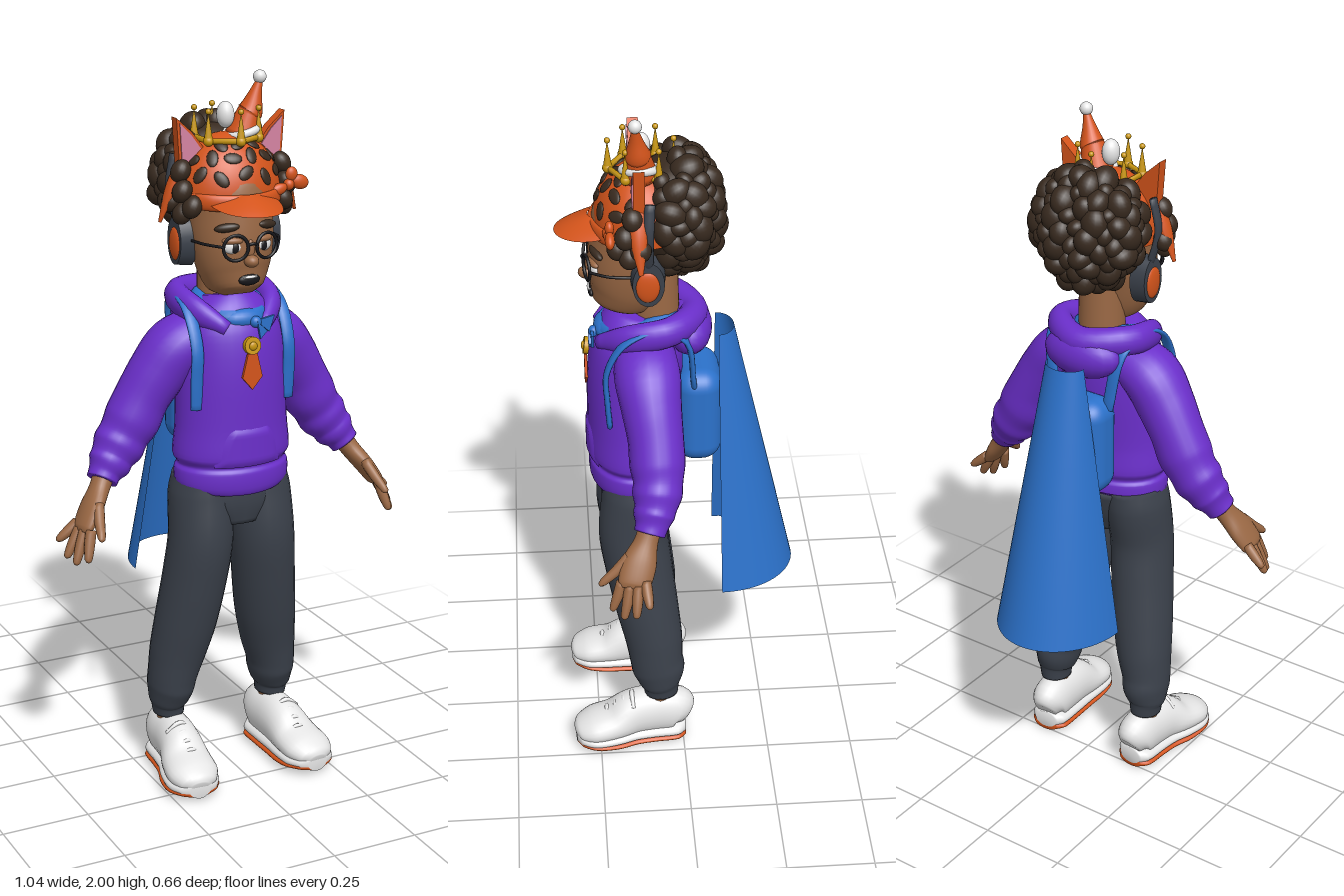
import * as THREE from 'three';
import { mergeVertices } from 'three/addons/utils/BufferGeometryUtils.js';
import { RoundedBoxGeometry } from 'three/addons/geometries/RoundedBoxGeometry.js';

const V = (x, y, z) => new THREE.Vector3(x, y, z);
const X = V(1, 0, 0), Y = V(0, 1, 0), Z = V(0, 0, 1);

// Smooth grid surface from fn(u, v) -> Vector3; faces the side of du x dv.
function surface(fn, nu, nv) {
  const pos = [], idx = [];
  for (let j = 0; j <= nv; j++) for (let i = 0; i <= nu; i++) pos.push(...fn(i / nu, j / nv).toArray());
  for (let j = 0; j < nv; j++) for (let i = 0; i < nu; i++) {
    const a = j * (nu + 1) + i, d = a + nu + 1;
    idx.push(a, a + 1, d + 1, a, d + 1, d);
  }
  let g = new THREE.BufferGeometry();
  g.setAttribute('position', new THREE.Float32BufferAttribute(pos, 3));
  g.setIndex(idx);
  g = mergeVertices(g, 1e-5);
  g.computeVertexNormals();
  return g;
}

// Capped loft through sections [x, y, z, a, b]; b lies along ref, a across it.
function loft(sections, ref = Z, sides = 24, per = 5) {
  const path = new THREE.CatmullRomCurve3(sections.map(s => V(s[0], s[1], s[2])));
  const size = new THREE.CatmullRomCurve3(sections.map(s => V(s[3], s[4] ?? s[3], 0)), false, 'catmullrom');
  const n = (sections.length - 1) * per;
  return surface((u, v) => {
    const t = Math.min(1, Math.max(0, (v * (n + 2) - 1) / n));
    const k = v === 0 || v === 1 ? 0 : 1, ang = -(u === 1 ? 0 : u) * Math.PI * 2;
    const c = path.getPoint(t), r = size.getPoint(t), dir = path.getTangent(t);
    const side = dir.clone().cross(ref).normalize(), up = side.clone().cross(dir);
    return c.addScaledVector(side, Math.cos(ang) * r.x * k).addScaledVector(up, Math.sin(ang) * r.y * k);
  }, sides, n + 2);
}

export function createModel() {
  const root = new THREE.Group();
  const mat = (name, color, side = THREE.FrontSide) => new THREE.MeshStandardMaterial({ name, color, side });
  const skin = mat('skin', 0x9a6844), purple = mat('purple', 0x6b2fcb), slate = mat('slate', 0x3b414b);
  const blue = mat('blue', 0x2c72cb, THREE.DoubleSide), orange = mat('orange', 0xd4541b), gold = mat('gold', 0xc9970f);
  const white = mat('white', 0xe6e6e6), brown = mat('dark brown', 0x382a1f), pink = mat('pink', 0xd583a2);
  const black = mat('black', 0x17171b);

  const add = (name, geo, m, p = [0, 0, 0], rot = [0, 0, 0]) => {
    const mesh = new THREE.Mesh(geo, m);
    mesh.name = name;
    mesh.position.set(...p);
    mesh.rotation.set(...rot);
    root.add(mesh);
    return mesh;
  };
  const ball = (name, m, p, r, rot) => add(name, new THREE.SphereGeometry(1, 20, 14), m, p, rot).scale.set(...r);
  const flat = (pts, depth) => new THREE.ExtrudeGeometry(
    new THREE.Shape(pts.map(p => new THREE.Vector2(p[0], p[1]))), { depth, bevelEnabled: false });

  // Hoodie body, with hem
  add('hoodieBody', loft([[0, .875, .13, .155, .115], [0, .89, .166, .124], [0, .925, .165, .124], [0, .94, .157, .117],
    [0, .965, .17, .128], [0, 1.05, .162, .126], [0, 1.2, .156, .132], [0, 1.3, .148, .126], [0, 1.36, .12, .105], [0, 1.4, .075, .08]]
    .map((s, i) => i ? [0, s[1], i < 6 ? .132 : .132 - (i - 5) * .008, s[2], s[3]] : s), Z, 36), purple);
  // Front pocket, following the belly
  const pocketAt = (u, v) => {
    const x = (u - .5) * (.2 - .09 * v * v), edge = Math.min(1, 8 * Math.min(u, 1 - u, v, 1 - v));
    return V(x, .945 + .11 * v, .132 + .128 * Math.sqrt(1 - (x / .17) ** 2) + .008 * edge - .004);
  };
  add('pocket', surface(pocketAt, 24, 12), purple);
  // Hood lying around the neck
  add('hoodRim', loft([[.055, 1.33, .22, .02, .02], [.115, 1.37, .14, .03, .04], [.115, 1.39, .03, .035, .042],
    [0, 1.385, -.04, .04, .04], [-.115, 1.39, .03, .035, .042], [-.115, 1.37, .14, .03, .04], [-.055, 1.33, .22, .02, .02]], Y), purple);
  ball('hoodBack', purple, [0, 1.345, -.025], [.12, .07, .065]);

  // Trousers seat
  add('trouserSeat', loft([[0, .76, .135, .09, .085], [0, .82, .13, .165, .1], [0, .9, .12, .165, .108]]), slate);

  for (const s of [1, -1]) {
    // Sleeve with folds towards the cuff
    add('sleeve', loft([[.08, 1.3, .1, .07, .085], [.15, 1.265, .095, .08, .09], [.2, 1.2, .088, .081, .082], [.245, 1.13, .08, .076, .076],
      [.275, 1.07, .078, .079, .076], [.3, 1.03, .078, .071, .068], [.32, 1, .082, .073, .068], [.34, .973, .088, .061, .058],
      [.353, .955, .094, .06, .056], [.368, .935, .1, .046, .046], [.38, .917, .107, .043, .043]].map(p => [s * p[0], ...p.slice(1)])), purple);
    // Hand
    add('palm', loft([[.365, .945, .1, .03, .032], [.392, .9, .117, .027, .033], [.425, .855, .137, .025, .047], [.455, .81, .152, .02, .045],
      [.463, .797, .155, .012, .036]].map(p => [s * p[0], ...p.slice(1)])), skin);
    const fingers = [[.448, .81, .187, .468, .735, .212], [.458, .805, .165, .49, .722, .182],
      [.463, .805, .143, .503, .733, .15], [.46, .815, .122, .512, .77, .115], [.415, .87, .165, .44, .8, .24]];
    for (const [x, y, z, x2, y2, z2] of fingers)
      add('finger', loft([[s * x, y, z, .015], [s * (x * .45 + x2 * .55), y * .45 + y2 * .55, z * .5 + z2 * .5, .0145],
        [s * x2, y2, z2, .01], [s * (x2 + .002), y2 - .006, z2, .004]], Z, 12, 4), skin);
    // Trouser leg with gathered ankle
    add('trouserLeg', loft([[.166, .168, .065, .044, .05], [.167, .195, .066, .048, .054], [.167, .21, .068, .056, .062],
      [.162, .25, .072, .066, .077], [.158, .29, .078, .07, .078], [.145, .36, .085, .08, .084], [.127, .46, .102, .088, .091], [.108, .6, .124, .09, .097],
      [.096, .72, .137, .09, .1], [.09, .84, .122, .088, .104], [.088, .9, .12, .075, .1]].map(p => [s * p[0], ...p.slice(1)])), slate);
    add('ankle', new THREE.CylinderGeometry(.036, .036, .08, 16), skin, [s * .165, .15, .07]);
    // Shoe: orange sole under a white upper
    const shoe = [[.158, .07, -.005, .032, .04], [.16, .09, .02, .054, .072], [.163, .095, .09, .058, .078], [.168, .09, .15, .062, .073],
      [.177, .07, .21, .072, .052], [.184, .06, .27, .073, .042], [.187, .05, .31, .052, .03], [.188, .045, .323, .025, .015]]
      .map(p => [s * p[0], ...p.slice(1)]);
    add('shoeUpper', loft(shoe, Y), white);
    add('shoeMidsole', loft(shoe.map(p => [p[0], .036, p[2], p[3] + .004, .026]), Y), white);
    add('shoeSole', loft(shoe.map(p => [p[0], .016 + .012 * Math.max(0, p[2] - .2) / .12, p[2] * .995, p[3] + .005, .016]), Y), orange);
    for (let i = 0; i < 4; i++) {
      const z = .15 + i * .025, y = .164 - i * .017;
      add('lace', loft([[s * .135, y - .025, z, .006], [s * .172, y + .002, z + .004, .007], [s * .212, y - .025, z, .006]], Z, 8), white);
    }
    // Backpack strap
    add('strap', loft([[.09, 1.2, -.035, .008, .018], [.115, 1.36, -.01, .008, .018], [.132, 1.405, .07, .008, .018], [.138, 1.37, .155, .008, .018],
      [.138, 1.28, .205, .008, .018], [.14, 1.19, .205, .008, .018], [.138, 1.11, .2, .008, .018]].map(p => [s * p[0], ...p.slice(1)]), X, 14), blue);
    // Headphone
    add('headphoneCup', new THREE.CylinderGeometry(.05, .055, .045, 24), slate, [s * .128, 1.555, .09], [0, 0, -s * Math.PI / 2]).scale.set(1.3, 1, .85);
    ball('headphoneCover', orange, [s * .149, 1.548, .092], [.01, .045, .032]);
    add('headphoneBand', loft([[s * .14, 1.6, .09, .009, .014], [s * .165, 1.7, .09, .009, .014], [s * .15, 1.79, .085, .009, .014]], Z, 12), slate);
    // Side flap of the hat
    add('hatFlap', loft([[s * .14, 1.77, .115, .012, .022], [s * .172, 1.7, .115, .014, .022], [s * .203, 1.615, .112, .004, .006]], Z, 12), orange);
    // Pointed animal ear
    const ear = [[.16, 1.89], [.15, 1.74], [.075, 1.8], [.115, 1.85]].map(p => [s * p[0], p[1]]);
    add('hatEar', flat(ear, .03), orange, [0, 0, .098]);
    const inner = ear.map(p => [s * .128 + (p[0] - s * .128) * .72, 1.822 + (p[1] - 1.822) * .78]);
    add('earInside', flat(inner, .004), pink, [0, 0, .127]);
    // Eye, spectacles and brow
    ball('eyeWhite', white, [s * .045, 1.555, .228], [.027, .019, .014], [0, s * .25, 0]);
    ball('iris', black, [s * .043, 1.554, .239], [.011, .014, .005], [0, s * .25, 0]);
    ball('eyelid', skin, [s * .045, 1.572, .229], [.03, .011, .015], [0, s * .25, 0]);
    add('spectacleRim', new THREE.TorusGeometry(.034, .0045, 8, 28), black, [s * .046, 1.556, .249], [0, s * .22, 0]);
    add('spectacleArm', loft([[s * .08, 1.56, .243, .004], [s * .112, 1.562, .19, .004], [s * .12, 1.56, .1, .004]], Y, 8), black);
    ball('eyebrow', brown, [s * .06, 1.607, .224], [.034, .012, .012], [0, s * .4, -s * .12]);
    add('fang', new THREE.ConeGeometry(.005, .016, 8), white, [s * .017, 1.468, .242], [Math.PI, 0, 0]);
  }

  // Head, neck and face
  add('head', loft([[0, 1.41, .165, .04, .05], [0, 1.43, .16, .074, .08], [0, 1.48, .145, .099, .1], [0, 1.55, .133, .113, .114],
    [0, 1.62, .12, .116, .12], [0, 1.7, .11, .115, .118], [0, 1.77, .1, .09, .09]], Z, 32), skin);
  add('neck', new THREE.CylinderGeometry(.062, .066, .2, 24), skin, [0, 1.46, .065]);
  ball('nose', skin, [0, 1.517, .25], [.02, .017, .022]);
  ball('noseBridge', skin, [0, 1.545, .243], [.011, .03, .01]);
  add('spectacleBridge', loft([[-.014, 1.562, .256, .004], [0, 1.566, .26, .004], [.014, 1.562, .256, .004]], Y, 8), black);
  ball('mouth', black, [0, 1.464, .238], [.032, .015, .009]);
  ball('teeth', white, [0, 1.472, .243], [.022, .004, .006]);

  // Hair: curls spread over a rounded core
  ball('hairCore', brown, [0, 1.7, .02], [.15, .155, .11]);
  for (let i = 0, n = 130; i < n; i++) {
    const h = 1 - 2 * (i + .5) / n, a = i * 2.39996, r = Math.sqrt(1 - h * h);
    const d = V(Math.cos(a) * r, h, Math.sin(a) * r);
    if (d.z > .45 || (h > .75 && d.z > .1)) continue;
    const taper = h < -.4 ? .85 : 1, k = .032 + .008 * Math.sin(i * 12.9);
    ball('curl', brown, [d.x * .145 * taper, 1.7 + d.y * .152, .005 + d.z * .1], [k, k * 1.15, k * .9], [i, i * 2, 0]);
  }
  for (const s of [1, -1]) for (const [x, y, z] of [[.15, 1.64, .14], [.168, 1.67, .11], [.155, 1.7, .15], [.15, 1.75, .13], [.135, 1.66, .17]])
    ball('sideCurl', brown, [s * x, y, z], [.026, .032, .028], [0, 0, s * .5]);

  // Spotted cap with band and brim
  const cap = V(0, 1.675, .1), capR = V(.15, .165, .13);
  add('capDome', new THREE.SphereGeometry(1, 36, 20, 0, Math.PI * 2, 0, Math.PI * .53), orange, cap.toArray()).scale.copy(capR);
  add('capBand', loft([[-.14, 1.675, .14, .01, .022], [-.09, 1.672, .205, .01, .022], [0, 1.67, .235, .01, .022],
    [.09, 1.672, .205, .01, .022], [.14, 1.675, .14, .01, .022]], Y), orange);
  const brimAt = side => (u, v) => {
    const a = Math.PI * (side > 0 ? 1 - u : u), r = .35 + .65 * v;
    const x = Math.cos(a) * .1 * r;
    return V(x, 1.688 - .038 * Math.sin(a) * v - 1.8 * x * x + side * .006 * (1 - v ** 4), .195 + Math.sin(a) * .138 * r);
  };
  add('brimTop', surface((u, v) => brimAt(1)(u, 1 - v), 28, 8), orange).material = orange;
  add('brimUnderside', surface((u, v) => brimAt(-1)(u, 1 - v), 28, 8), orange);
  for (const [az, el] of [[-.95, .42], [-.5, .36], [0, .45], [.45, .35], [.95, .4], [-.75, .72], [-.25, .72], [.25, .75], [.75, .7], [-1.3, .65], [1.3, .65], [0, 1.02], [.6, 1.0], [-.6, 1.0]]) {
    const d = V(Math.sin(az) * Math.cos(el), Math.sin(el), Math.cos(az) * Math.cos(el));
    const m = new THREE.Mesh(new THREE.SphereGeometry(1, 14, 8), brown);
    m.name = 'capSpot';
    m.position.copy(d).multiply(capR).add(cap);
    m.quaternion.setFromUnitVectors(Z, d.clone().divide(capR).normalize());
    m.rotateZ(az * 3 + .6);
    m.scale.set(.025, .016, .006);
    root.add(m);
  }
  // Bow on the cap
  ball('bowKnot', orange, [.142, 1.7, .19], [.015, .016, .015]);
  ball('bowLoop', orange, [.108, 1.69, .195], [.027, .016, .013], [0, 0, .3]);
  ball('bowLoop', orange, [.175, 1.705, .19], [.027, .02, .013], [0, 0, -.3]);
  ball('bowLoop', orange, [.15, 1.728, .19], [.017, .02, .012]);

  // Crown
  add('crownRing', new THREE.TorusGeometry(.086, .008, 8, 6), gold, [0, 1.825, .1], [Math.PI / 2, 0, Math.PI / 6]);
  for (let i = 0; i < 6; i++) {
    const a = Math.PI / 6 + i * Math.PI / 3, x = .086 * Math.cos(a), z = .1 + .086 * Math.sin(a);
    ball('crownStud', gold, [x, 1.825, z], [.014, .014, .014]);
    add('crownSpike', new THREE.ConeGeometry(.012, .075, 12), gold, [x, 1.865, z]);
    ball('crownTip', gold, [x, 1.903, z], [.008, .008, .008]);
  }
  // Party hat and pompoms
  add('partyHat', loft([[.045, 1.825, .105, .048], [.062, 1.885, .11, .033], [.066, 1.892, .111, .034], [.078, 1.935, .115, .019],
    [.09, 1.975, .118, .008]]), orange);
  add('partyHatTrim', new THREE.TorusGeometry(.046, .011, 10, 28), white, [.043, 1.84, .105], [Math.PI / 2, .27, 0]);
  ball('partyHatPompom', white, [.09, 1.982, .118], [.018, .018, .018]);
  ball('capPompom', white, [-.003, 1.885, .1], [.024, .036, .026]);

  // Neckerchief, medallion and short tie
  add('neckerchief', new THREE.TorusGeometry(.078, .026, 12, 36), blue, [0, 1.372, .115], [Math.PI / 2 + .22, 0, 0]).scale.set(1, 1.15, 1);
  ball('kerchiefFront', blue, [0, 1.35, .2], [.062, .03, .035]);
  ball('kerchiefKnot', blue, [.022, 1.345, .235], [.016, .016, .014]);
  add('kerchiefTail', flat([[.02, 1.35], [.075, 1.36], [.06, 1.315]], .008), blue, [0, 0, .235]);
  add('kerchiefTail', flat([[.02, 1.35], [.05, 1.32], [.03, 1.3]], .008), blue, [0, 0, .242]);
  add('medallion', new THREE.CylinderGeometry(.024, .024, .014, 24), gold, [0, 1.287, .256], [Math.PI / 2 - .15, 0, 0]);
  ball('medallionBoss', gold, [0, 1.287, .264], [.012, .012, .006]);
  add('tie', flat([[-.014, 1.265], [-.03, 1.2], [0, 1.165], [.03, 1.2], [.014, 1.265]], .008), orange, [0, 0, .254]);

  // Backpack and cape
  add('backpack', new RoundedBoxGeometry(.21, .29, .13, 5, .055), blue, [0, 1.085, -.05]);
  add('cape', surface((u, v) => {
    const a = Math.PI * u;
    return V(Math.cos(a) * (.185 - .125 * v), .545 + .795 * v, -.112 + .008 * v - Math.sin(a) * (.22 - .173 * v));
  }, 32, 12), blue);
  return root;
}
